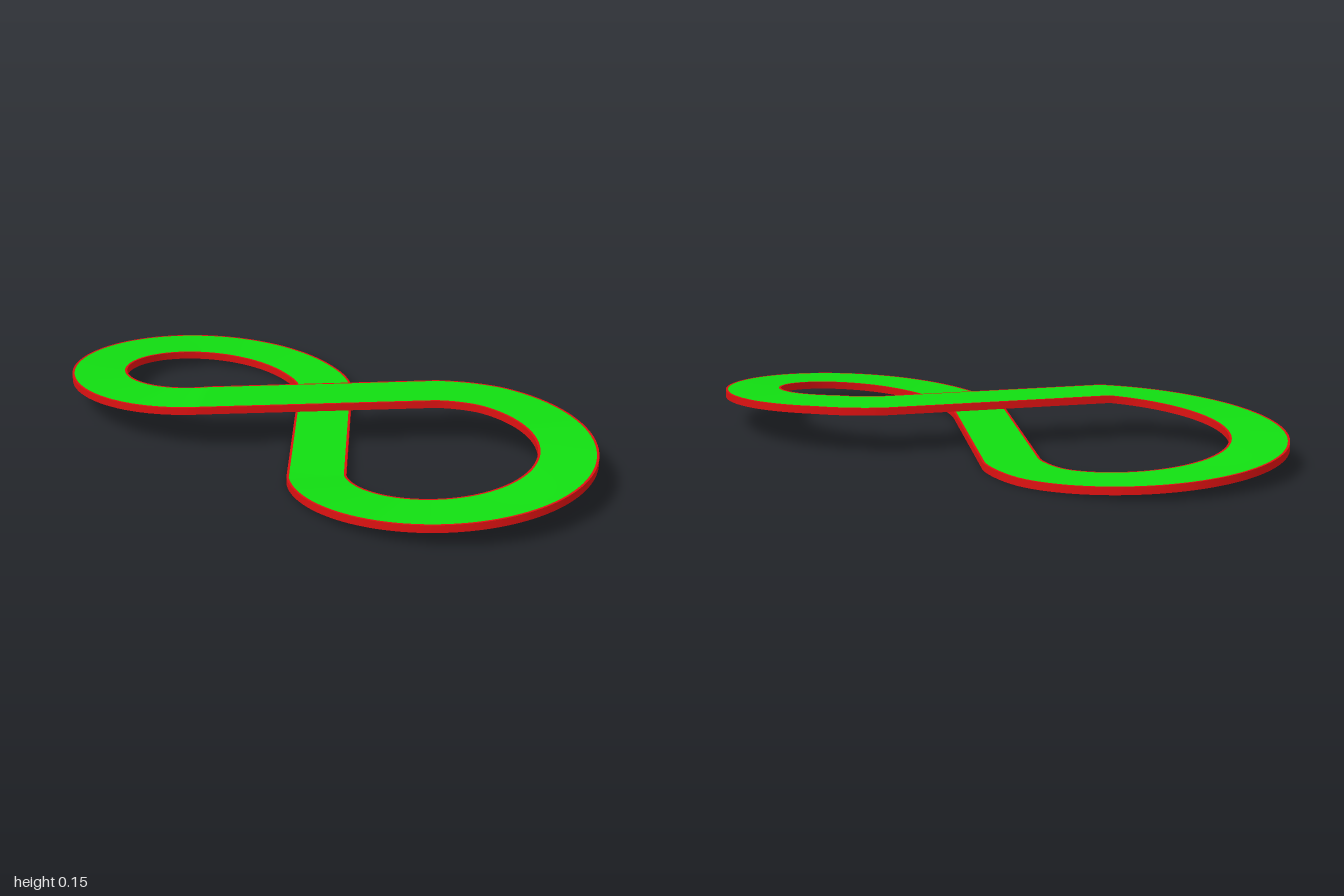
import * as THREE from 'three';

const HALF = 0.0925;   // half width of the track
const THICK = 0.024;   // thickness of the track
const RISE = 0.126;    // height between the two crossing levels
const RIM = 0.92;      // where the red rim starts, as a fraction of the half width

// Cross-sections of one loop: centre, sideways vector and underside height.
// side = 1 is the front loop (descending), side = -1 the back loop (climbing).
function loopSections(side) {
  const out = [], steps = 72, from = -42, to = 222;
  for (let i = 0; i <= steps; i++) {
    const deg = from + (to - from) * i / steps;
    const t = THREE.MathUtils.degToRad(deg);
    const n = new THREE.Vector3(0.395 * Math.cos(t), 0, side * 0.375 * Math.sin(t)).normalize();
    const u = Math.max(0, (deg + 16) / (to + 16));
    const change = RISE * Math.pow(u, 1.2);
    out.push({
      centre: new THREE.Vector3(0.375 * Math.cos(t), side > 0 ? RISE - change : change,
        side * (0.5125 + 0.395 * Math.sin(t))),
      across: n.multiplyScalar(HALF * side),
    });
  }
  return out;
}

// Straight crossing between the end of one loop and the start of the next
function straightSections(a, b) {
  const out = [], steps = 8;
  for (let i = 1; i < steps; i++) {
    out.push({
      centre: a.centre.clone().lerp(b.centre, i / steps),
      across: a.across.clone().lerp(b.across, i / steps),
    });
  }
  return out;
}

// Closed band swept between two profile points [sideways fraction, height]
function band(sections, p, q, name, material) {
  const pos = [], index = [], count = sections.length;
  sections.forEach(({ centre, across }, i) => {
    for (const [s, h] of [p, q]) {
      pos.push(centre.x + across.x * s, centre.y + h, centre.z + across.z * s);
    }
    const a = 2 * i, c = 2 * ((i + 1) % count);
    index.push(a, a + 1, c, a + 1, c + 1, c);
  });
  const geo = new THREE.BufferGeometry();
  geo.setAttribute('position', new THREE.Float32BufferAttribute(pos, 3));
  geo.setIndex(index);
  geo.computeVertexNormals();
  const mesh = new THREE.Mesh(geo, material);
  mesh.name = name;
  return mesh;
}

export function createModel() {
  const group = new THREE.Group();
  group.name = 'figureEightTrack';
  const green = new THREE.MeshStandardMaterial({ color: 0x11dd11 });
  const red = new THREE.MeshStandardMaterial({ color: 0xdd1111 });

  const front = loopSections(1), back = loopSections(-1);
  const path = [
    ...front, ...straightSections(front[front.length - 1], back[0]),
    ...back, ...straightSections(back[back.length - 1], front[0]),
  ];

  // Surfaces around the cross-section
  group.add(
    band(path, [RIM, THICK], [-RIM, THICK], 'topSurface', green),
    band(path, [-1, 0], [1, 0], 'underside', green),
    band(path, [1, THICK], [RIM, THICK], 'firstRim', red),
    band(path, [-RIM, THICK], [-1, THICK], 'secondRim', red),
    band(path, [1, 0], [1, THICK], 'firstEdge', red),
    band(path, [-1, THICK], [-1, 0], 'secondEdge', red),
  );
  return group;
}
